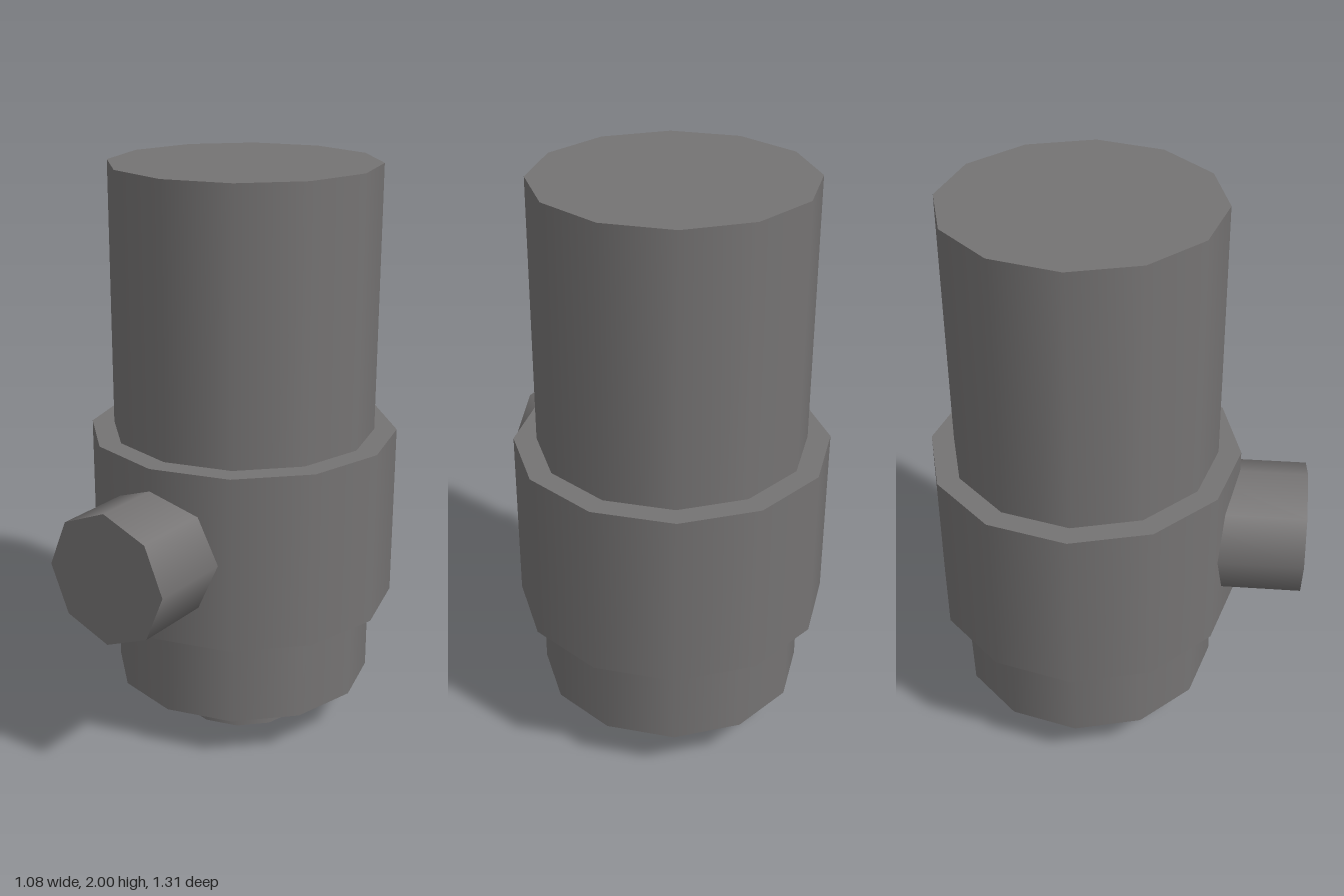
import * as THREE from 'three';

export function createModel() {
  const model = new THREE.Group();
  model.name = 'cylinderFitting';
  const darkGrey = new THREE.MeshStandardMaterial({ color: 0x757373 });
  darkGrey.name = 'darkGrey';

  const axisZ = -0.117; // the upright axis sits behind the centre

  // Upright capped cylinder between two heights
  function upright(name, radius, bottom, top) {
    const geometry = new THREE.CylinderGeometry(radius, radius, top - bottom, 12);
    const mesh = new THREE.Mesh(geometry, darkGrey);
    mesh.name = name;
    mesh.position.set(0, (bottom + top) / 2, axisZ);
    model.add(mesh);
  }

  upright('bottomStub', 0.23, 0, 0.17);
  upright('mainBarrel', 0.46, 0.155, 2);
  upright('collar', 0.538, 0.467, 1.08);

  // Octagonal side port running out of the collar to the front
  const back = 0.2, front = 0.655;
  const port = new THREE.Mesh(new THREE.CylinderGeometry(0.229, 0.229, front - back, 8), darkGrey);
  port.name = 'frontPort';
  port.rotation.x = Math.PI / 2;
  port.position.set(0, 0.773, (back + front) / 2);
  model.add(port);

  return model;
}
